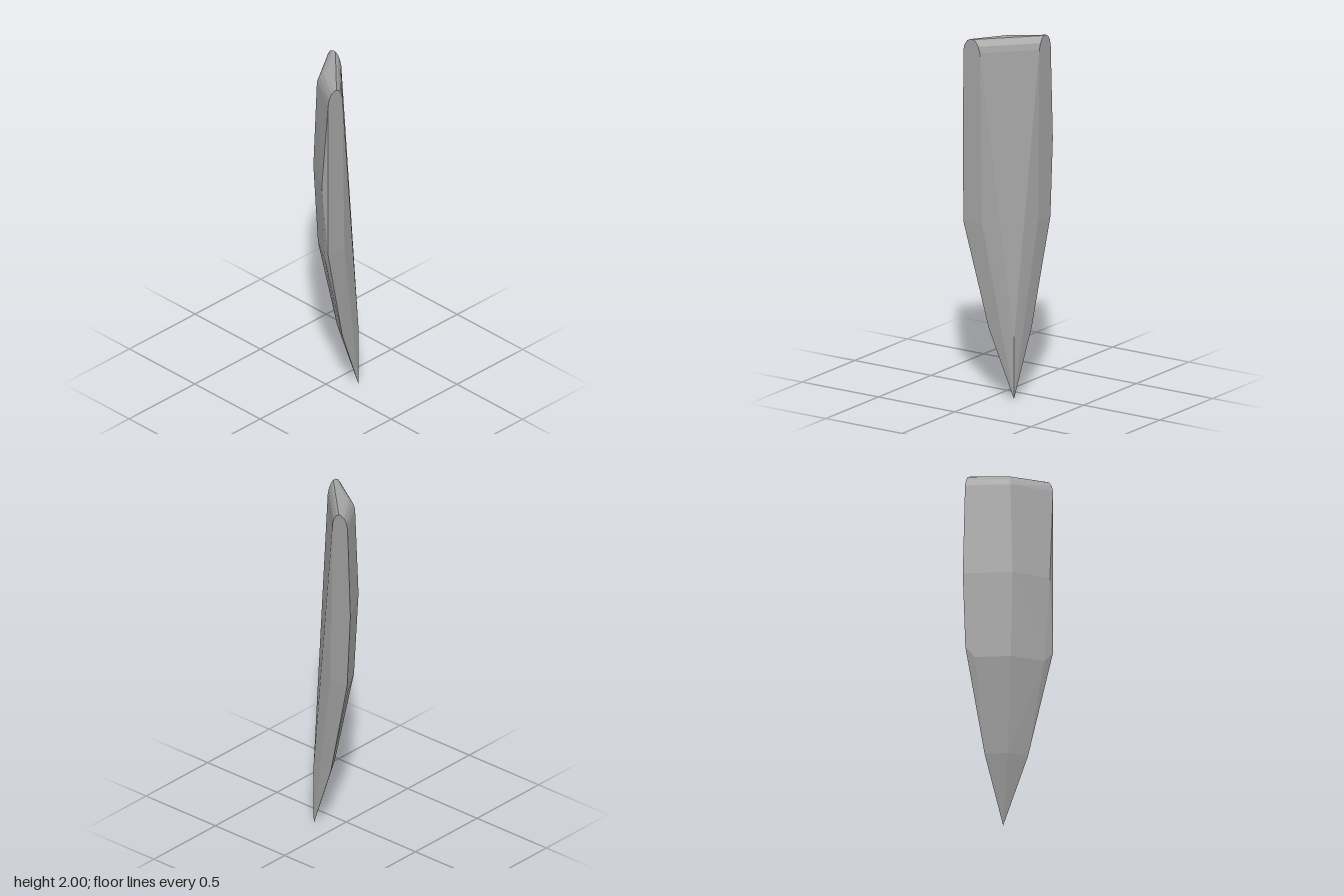
import * as THREE from 'three';
import { ConvexGeometry } from 'three/addons/geometries/ConvexGeometry.js';

// A tapering faceted shard, wedge-shaped in plan, with a rounded ridge on top.
export function createModel() {
  const stone = new THREE.MeshStandardMaterial({ color: 0xa3a3a3 });
  stone.name = 'stone grey';
  const points = [];
  const add = (x, y, z) => points.push(new THREE.Vector3(x, y, z));

  // rounded ridge: [height, outer offset, inner offset, x and z of the back bend]
  const ridge = [
    [1.93, 0.163, 0.055, -0.036, -0.032],
    [1.965, 0.155, 0.065, -0.026, -0.024],
    [1.99, 0.138, 0.083, -0.012, -0.012],
    [2.0, 0.118, 0.1, 0.005, 0.005],
  ];
  for (const [y, outer, inner, bx, bz] of ridge) {
    add(-outer, y, 0.182);
    add(-inner, y, 0.182);
    add(0.172, y, -inner);
    add(0.172, y, -outer);
    add(bx, y, bz);
  }

  // widest band of the back
  add(-0.164, 1.4, 0.182);
  add(-0.172, 1.4, 0.142);
  add(-0.055, 1.4, -0.04);
  add(0.172, 1.4, -0.183);

  // shoulder where the taper starts
  add(-0.163, 0.97, 0.182);
  add(-0.04, 0.97, 0.182);
  add(0.172, 0.97, -0.04);
  add(0.172, 0.97, -0.16);
  add(-0.14, 0.91, 0.135);
  add(-0.034, 0.91, -0.026);
  add(0.13, 0.91, -0.13);

  // lower break and pointed foot
  add(-0.02, 0.38, 0.147);
  add(0.04, 0.38, 0.046);
  add(0.147, 0.38, -0.02);
  add(0.128, 0.34, 0.122);
  add(0.127, 0, 0.121);

  const shard = new THREE.Mesh(new ConvexGeometry(points), stone);
  shard.name = 'shard';
  const group = new THREE.Group();
  group.name = 'stoneShard';
  group.add(shard);
  return group;
}
